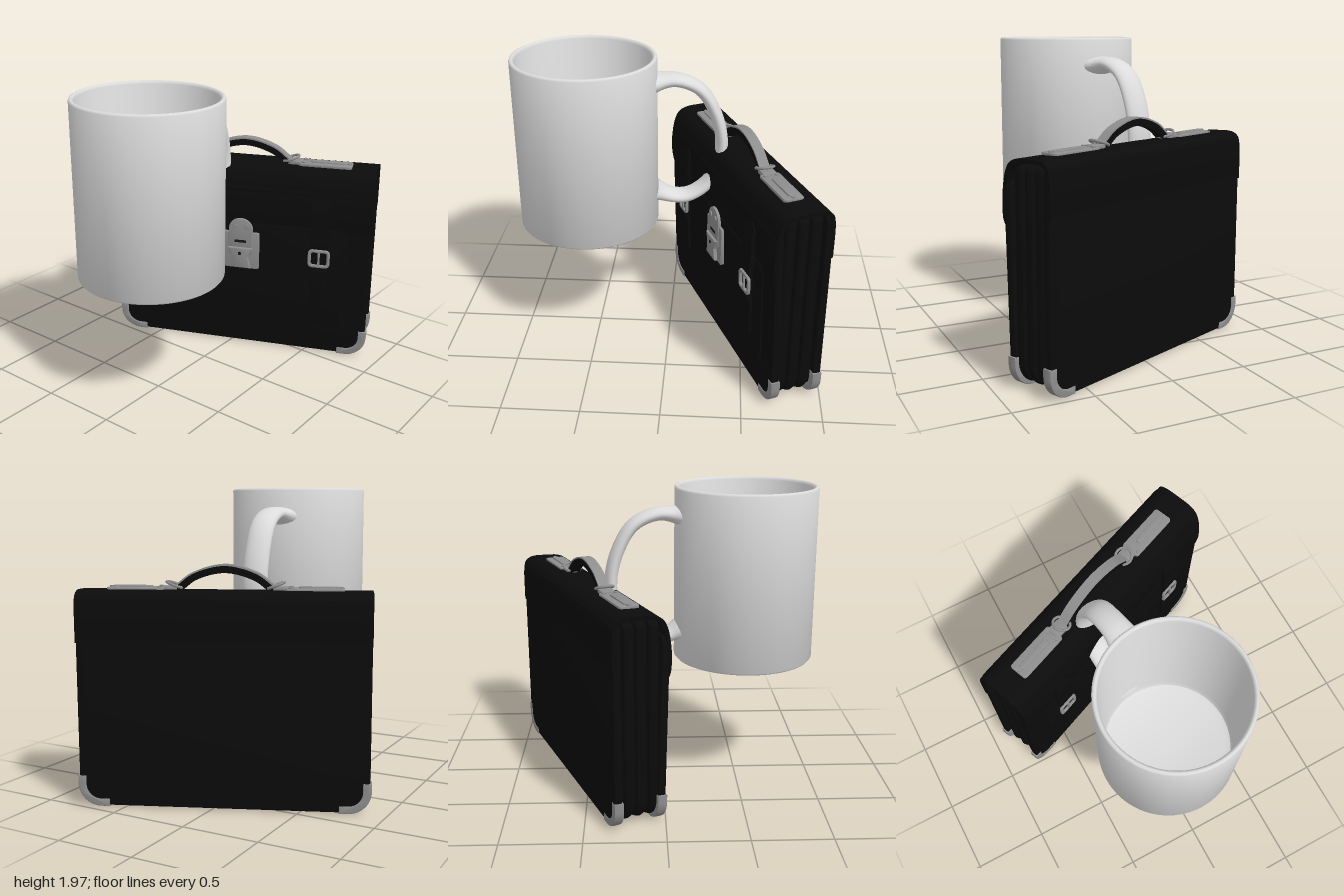
import * as THREE from 'three';
import { toCreasedNormals } from 'three/addons/utils/BufferGeometryUtils.js';

const mat = (name, color, side = THREE.FrontSide) => {
  const m = new THREE.MeshStandardMaterial({ color, side });
  m.name = name;
  return m;
};

// Closed skin over rings of points, with a cap at each end
function loft(rings, crease) {
  const n = rings[0].length, pos = [], idx = [];
  rings.flat().forEach(p => pos.push(p.x, p.y, p.z));
  for (let i = 0; i < rings.length - 1; i++)
    for (let j = 0; j < n; j++) {
      const k = (j + 1) % n, a = i * n + j, b = i * n + k, c = b + n, d = a + n;
      idx.push(a, b, c, a, c, d);
    }
  const e = (rings.length - 1) * n;
  for (let j = 1; j < n - 1; j++) idx.push(0, j + 1, j, e, e + j, e + j + 1);
  const g = new THREE.BufferGeometry();
  g.setAttribute('position', new THREE.Float32BufferAttribute(pos, 3));
  g.setIndex(idx);
  return toCreasedNormals(g, crease);
}

const curve = pts => new THREE.CatmullRomCurve3(pts.map(([a, y]) => new THREE.Vector3(a, y, 0)), false, 'centripetal');

// Leather band following (z, y) points; halfWidth depends on distance from its start and end
function ribbon(pts, thick, halfWidth, steps = 48) {
  const c = curve(pts), len = c.getLength(), rings = [];
  for (let i = 0; i <= steps; i++) {
    const u = i / steps, p = c.getPointAt(u), t = c.getTangentAt(u);
    const w = halfWidth(u * len, (1 - u) * len);
    const iz = p.x + t.y * thick, iy = p.y - t.x * thick;
    rings.push([[-w, iy, iz], [w, iy, iz], [w, p.y, p.x], [-w, p.y, p.x]].map(v => new THREE.Vector3(...v)));
  }
  return loft(rings, 0.6);
}

// Round-cornered rectangle, with separate top and bottom radii
function rr(w, h, r, rTop = r) {
  const s = new THREE.Shape(), x = w / 2, y = h / 2, q = Math.PI / 2;
  s.moveTo(-x + r, -y);
  s.absarc(x - r, -y + r, r, -q, 0);
  s.absarc(x - rTop, y - rTop, rTop, 0, q);
  s.absarc(-x + rTop, y - rTop, rTop, q, 2 * q);
  s.absarc(-x + r, -y + r, r, 2 * q, 3 * q);
  return s;
}

// Shape thickened from z = 0 to z = depth with a small bevel kept inside the outline
function slab(shape, depth, bevel = 0.004) {
  const g = new THREE.ExtrudeGeometry(shape, {
    depth: depth - 2 * bevel, bevelThickness: bevel, bevelSize: bevel,
    bevelOffset: -bevel, bevelSegments: 2, curveSegments: 10
  });
  return toCreasedNormals(g.translate(0, 0, bevel), 0.6);
}

export function createModel() {
  const ceramic = mat('white ceramic', 0xdcdcdc);
  const leather = mat('black leather', 0x0b0b0b);
  const metal = mat('grey metal', 0x8e8e8e);
  const dark = mat('dark hole', 0x161616);
  const model = new THREE.Group();
  model.name = 'briefcaseAndMug';
  const add = (parent, name, geo, m, x = 0, y = 0, z = 0) => {
    const mesh = new THREE.Mesh(geo, m);
    mesh.name = name;
    mesh.position.set(x, y, z);
    parent.add(mesh);
    return mesh;
  };
  const group = (parent, name) => {
    const g = new THREE.Group();
    g.name = name;
    parent.add(g);
    return g;
  };

  // Mug: turned body with rounded lip and recessed foot
  const mug = group(model, 'mug');
  mug.position.z = 0.54;
  const profile = [[0, 0.865], [0.405, 0.865], [0.42, 0.842], [0.435, 0.838], [0.45, 0.84], [0.46, 0.852],
    [0.46, 1.955], [0.455, 1.966], [0.445, 1.97], [0.435, 1.966], [0.428, 1.95], [0.428, 0.94], [0.415, 0.905], [0.38, 0.89], [0, 0.89]];
  const body = new THREE.LatheGeometry(profile.map(p => new THREE.Vector2(...p)), 80);
  add(mug, 'mugBody', toCreasedNormals(body, 0.8), ceramic);

  // Mug handle: oval section, flared where it meets the body
  const hc = curve([[0.44, 1.79], [0.58, 1.80], [0.73, 1.735], [0.83, 1.58], [0.88, 1.38], [0.86, 1.2], [0.78, 1.06], [0.66, 0.985], [0.56, 0.985], [0.44, 1.03]]);
  const rings = [];
  for (let i = 0; i <= 56; i++) {
    const u = i / 56, p = hc.getPointAt(u), t = hc.getTangentAt(u);
    const flare = 1 + 0.6 * Math.exp(-Math.min(u, 1 - u) * 28);
    rings.push(Array.from({ length: 20 }, (_, j) => {
      const a = j / 20 * Math.PI * 2, n = Math.cos(a) * 0.041 * flare, w = Math.sin(a) * 0.083 * flare;
      return new THREE.Vector3(p.x - t.y * n, p.y + t.x * n, w);
    }));
  }
  add(mug, 'mugHandle', loft(rings, 1), ceramic).rotation.y = 1.71;

  // Briefcase, turned on the spot
  const bag = group(model, 'briefcase');
  bag.position.z = -0.485;
  bag.rotation.y = 0.39;

  // Pleated gusset: core with bulging folds
  add(bag, 'gussetCore', slab(rr(1.7, 1.24, 0.12, 0.03), 0.28), leather, 0, 0.66, -0.15);
  for (const z of [-0.075, 0.005, 0.085])
    add(bag, 'gussetFold', slab(rr(1.77, 1.28, 0.14, 0.04), 0.066, 0.028), leather, 0, 0.66, z - 0.033);

  // Metal corner guard shape, hugging the bottom right corner
  const guard = new THREE.Shape();
  guard.moveTo(0.91, 0.195);
  guard.lineTo(0.855, 0.195);
  guard.lineTo(0.855, 0.15);
  guard.absarc(0.765, 0.14, 0.09, 0, -Math.PI / 2, true);
  guard.lineTo(0.71, 0.05);
  guard.lineTo(0.71, 0);
  guard.lineTo(0.765, 0);
  guard.absarc(0.765, 0.145, 0.145, -Math.PI / 2, 0);
  const guardGeo = slab(guard, 0.062, 0.008);

  // Front panel leans slightly forward, back panel is upright
  const front = group(bag, 'frontPanel');
  front.position.z = 0.095;
  front.rotation.x = 0.028;
  const back = group(bag, 'backPanel');
  back.position.z = -0.184;
  for (const [panel, h] of [[front, 1.2], [back, 1.3]]) {
    add(panel, 'panel', slab(rr(1.8, h, 0.145, 0.05), 0.052, 0.012), leather, 0, h / 2 + 0.006, 0.004);
    for (const s of [1, -1]) // the guard is symmetric in depth, so a half turn mirrors it
      add(panel, 'cornerGuard', guardGeo, metal, 0, 0, s > 0 ? 0 : 0.062).rotation.y = s > 0 ? 0 : Math.PI;
  }

  // Front pocket
  add(front, 'frontPocket', slab(rr(1.48, 0.74, 0.06), 0.02, 0.008), leather, 0, 0.575, 0.048);

  // Flap: over the top, bulging at the front, round lower corners
  const flapPath = [[-0.184, 1.03], [-0.18, 1.26], [-0.165, 1.315], [-0.12, 1.343], [0, 1.345], [0.08, 1.338],
    [0.135, 1.31], [0.167, 1.25], [0.188, 1.13], [0.19, 1.04], [0.184, 0.96], [0.18, 0.9]];
  const round = (w, r, d) => d >= r ? w : w - r + Math.sqrt(Math.max(0, r * r - (r - d) ** 2));
  add(bag, 'flap', ribbon(flapPath, 0.025, (a, d) => round(0.902, 0.11, d), 90), leather);

  // Straps with buckles
  for (const s of [-1, 1]) {
    const strap = group(bag, 'strap');
    strap.position.x = s * 0.56;
    add(strap, 'lowerStrap', slab(rr(0.1, 0.47, 0.05, 0.02), 0.025, 0.006), leather, 0, 0.575, 0.176).rotation.x = 0.028;
    add(strap, 'upperStrap', ribbon([[0.192, 1.16], [0.212, 1.08], [0.212, 0.95], [0.215, 0.86], [0.205, 0.74]], 0.03,
      (a, d) => Math.min(round(0.068, 0.06, a), 0.05 + 0.1 * d), 30), leather);
    const frame = rr(0.15, 0.13, 0.03);
    frame.holes.push(rr(0.108, 0.09, 0.015));
    add(strap, 'buckleFrame', slab(frame, 0.02, 0.005), metal, 0, 0.74, 0.206);
    add(strap, 'bucklePin', new THREE.BoxGeometry(0.014, 0.11, 0.012), metal, 0, 0.745, 0.22);
    add(strap, 'beltLoop', slab(rr(0.12, 0.035, 0.01), 0.02), leather, 0, 0.63, 0.19);
  }

  // Lock: base plate, hasp, raised catch, keyhole and rivets
  const lock = group(bag, 'lock');
  lock.position.x = 0.01;
  add(lock, 'lockPlate', slab(rr(0.26, 0.27, 0.012), 0.04, 0.006), metal, 0, 0.74, 0.165);
  add(lock, 'hasp', slab(rr(0.17, 0.26, 0.01, 0.08), 0.022, 0.005), metal, 0, 0.845, 0.19);
  const catchShape = new THREE.Shape([[-0.075, 0], [0.075, 0], [0.055, 0.08], [0.085, 0.15], [-0.085, 0.15], [-0.055, 0.08]].map(p => new THREE.Vector2(...p)));
  add(lock, 'catch', slab(catchShape, 0.035, 0.008), metal, 0, 0.615, 0.195);
  add(lock, 'keySlot', new THREE.BoxGeometry(0.08, 0.018, 0.006), dark, 0, 0.81, 0.212);
  const disc = (r, h) => new THREE.CylinderGeometry(r, r, h, 16).rotateX(Math.PI / 2);
  add(lock, 'keyhole', disc(0.012, 0.006), dark, 0, 0.725, 0.231);
  for (const s of [-1, 1]) add(lock, 'lockRivet', disc(0.02, 0.012), metal, s * 0.04, 0.915, 0.214);

  // Carrying handle: arched leather with a grey band on top
  const arch = [[-0.31, 1.365], [-0.2, 1.445], [0, 1.495], [0.2, 1.445], [0.31, 1.365]];
  add(bag, 'handleGrip', ribbon(arch, 0.045, () => 0.032), leather).rotation.y = Math.PI / 2;
  add(bag, 'handleBand', ribbon(arch.map(([x, y]) => [x, y + 0.008]), 0.01, () => 0.034), metal).rotation.y = Math.PI / 2;

  // Handle mounts: plate, ridge, tab, rivets and ring on each side
  const flat = (w, d, h, r) => slab(rr(w, d, r), h).rotateX(-Math.PI / 2);
  for (const s of [-1, 1]) {
    const mount = group(bag, 'handleMount');
    mount.position.y = 1.34;
    add(mount, 'mountPlate', flat(0.36, 0.13, 0.02, 0.02), metal, s * 0.55, 0, 0);
    add(mount, 'mountRidge', flat(0.25, 0.045, 0.03, 0.02), metal, s * 0.575, 0, 0);
    add(mount, 'mountTab', flat(0.1, 0.09, 0.028, 0.015), metal, s * 0.345, 0, 0);
    for (const [x, z] of [[0.405, 0.04], [0.405, -0.04], [0.71, 0]])
      add(mount, 'mountRivet', new THREE.CylinderGeometry(0.014, 0.014, 0.028, 12), metal, s * x, 0.014, z);
    const ring = add(mount, 'handleRing', new THREE.TorusGeometry(0.056, 0.009, 8, 24), metal, s * 0.31, 0.035, 0);
    ring.rotation.set(Math.PI / 2, s * 0.35, 0);
  }
  return model;
}
